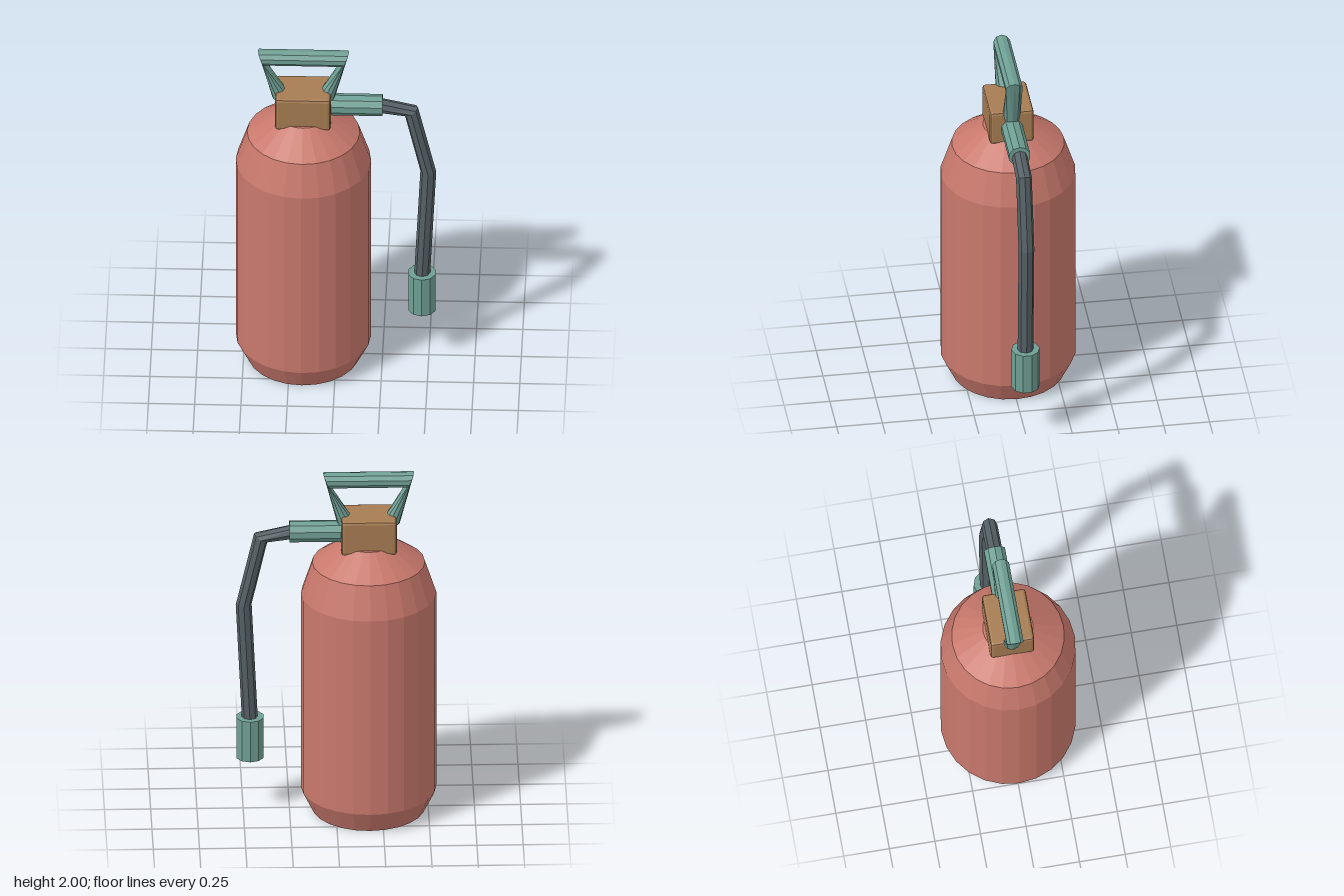
import * as THREE from 'three';
import { RoundedBoxGeometry } from 'three/addons/geometries/RoundedBoxGeometry.js';

const AXIS_X = -0.178; // centre line of the tank

const paint = (color) => new THREE.MeshStandardMaterial({ color, flatShading: true });

// Tube through rings in the xy plane; each ring is [x, y, acrossX, acrossY],
// where "across" is the in-plane radius direction of the ring.
function ringTube(rings, radius, sides) {
  const pos = [], index = [];
  for (const [x, y, ax, ay] of rings) {
    const a = new THREE.Vector2(ax, ay).setLength(radius);
    for (let i = 0; i < sides; i++) {
      const t = (i / sides) * Math.PI * 2;
      pos.push(x + a.x * Math.cos(t), y + a.y * Math.cos(t), radius * Math.sin(t));
    }
  }
  for (let r = 0; r < rings.length - 1; r++) {
    for (let i = 0; i < sides; i++) {
      const a = r * sides + i, b = r * sides + (i + 1) % sides;
      index.push(a, b, a + sides, b, b + sides, a + sides);
    }
  }
  // end caps
  const last = (rings.length - 1) * sides;
  for (let i = 1; i < sides - 1; i++) {
    index.push(0, i + 1, i, last, last + i, last + i + 1);
  }
  const g = new THREE.BufferGeometry();
  g.setAttribute('position', new THREE.Float32BufferAttribute(pos, 3));
  g.setIndex(index);
  g.computeVertexNormals();
  return g;
}

export function createModel() {
  const model = new THREE.Group();
  model.name = 'fireExtinguisher';
  const red = paint(0xc8786c), brass = paint(0xa67c52);
  const teal = paint(0x6f9f94), rubber = paint(0x556065);

  const add = (name, geometry, material, x = 0, y = 0, z = 0) => {
    const mesh = new THREE.Mesh(geometry, material);
    mesh.name = name;
    mesh.position.set(x, y, z);
    model.add(mesh);
    return mesh;
  };

  // Tank with chamfered foot and stepped shoulder
  const profile = [[0, 0], [0.305, 0], [0.366, 0.125], [0.366, 1.285], [0.305, 1.47], [0.137, 1.59], [0, 1.59]]
    .map(([r, y]) => new THREE.Vector2(r, y));
  add('tank', new THREE.LatheGeometry(profile, 24), red, AXIS_X);

  // Chamfered valve block
  add('valveBlock', new RoundedBoxGeometry(0.3, 0.2, 0.24, 1, 0.016), brass, AXIS_X, 1.66);

  // Carrying handle: two slanted legs and a top bar, mirrored about the tank axis
  const leg = [[-0.122, 1.71, -0.93, -0.2], [-0.226, 1.96, -0.036, 0.08]];
  const right = leg.map(([x, y, ax, ay]) => [-x, y, -ax, ay]).reverse();
  add('handle', ringTube([...leg, ...right], 0.048, 10), teal, AXIS_X);

  // Outlet pipe leaving the block sideways
  const outlet = add('outletPipe', new THREE.CylinderGeometry(0.06, 0.06, 0.32, 10), teal, 0.09, 1.656);
  outlet.rotation.set(0, 0, -Math.PI / 2);
  outlet.geometry.rotateY(Math.PI / 2);

  // Bent hose
  add('hose', ringTube([
    [0.2, 1.66, 0.1, 1],
    [0.405, 1.622, 0.07, 0.045],
    [0.497, 1.223, 1, -0.06],
    [0.462, 0.5, 1, -0.04],
  ], 0.043, 8), rubber);

  // Nozzle at the end of the hose
  add('nozzle', new THREE.CylinderGeometry(0.077, 0.077, 0.24, 10), teal, 0.463, 0.43);

  // Make sure tube faces point outward
  for (const name of ['handle', 'hose']) {
    const g = model.getObjectByName(name).geometry, p = g.attributes.position, idx = g.index.array;
    let volume = 0;
    const v = [0, 1, 2].map(() => new THREE.Vector3());
    for (let i = 0; i < idx.length; i += 3) {
      v.forEach((q, k) => q.fromBufferAttribute(p, idx[i + k]));
      volume += v[0].dot(v[1].clone().cross(v[2]));
    }
    if (volume < 0) {
      for (let i = 0; i < idx.length; i += 3) [idx[i], idx[i + 1]] = [idx[i + 1], idx[i]];
      g.computeVertexNormals();
    }
  }
  return model;
}
